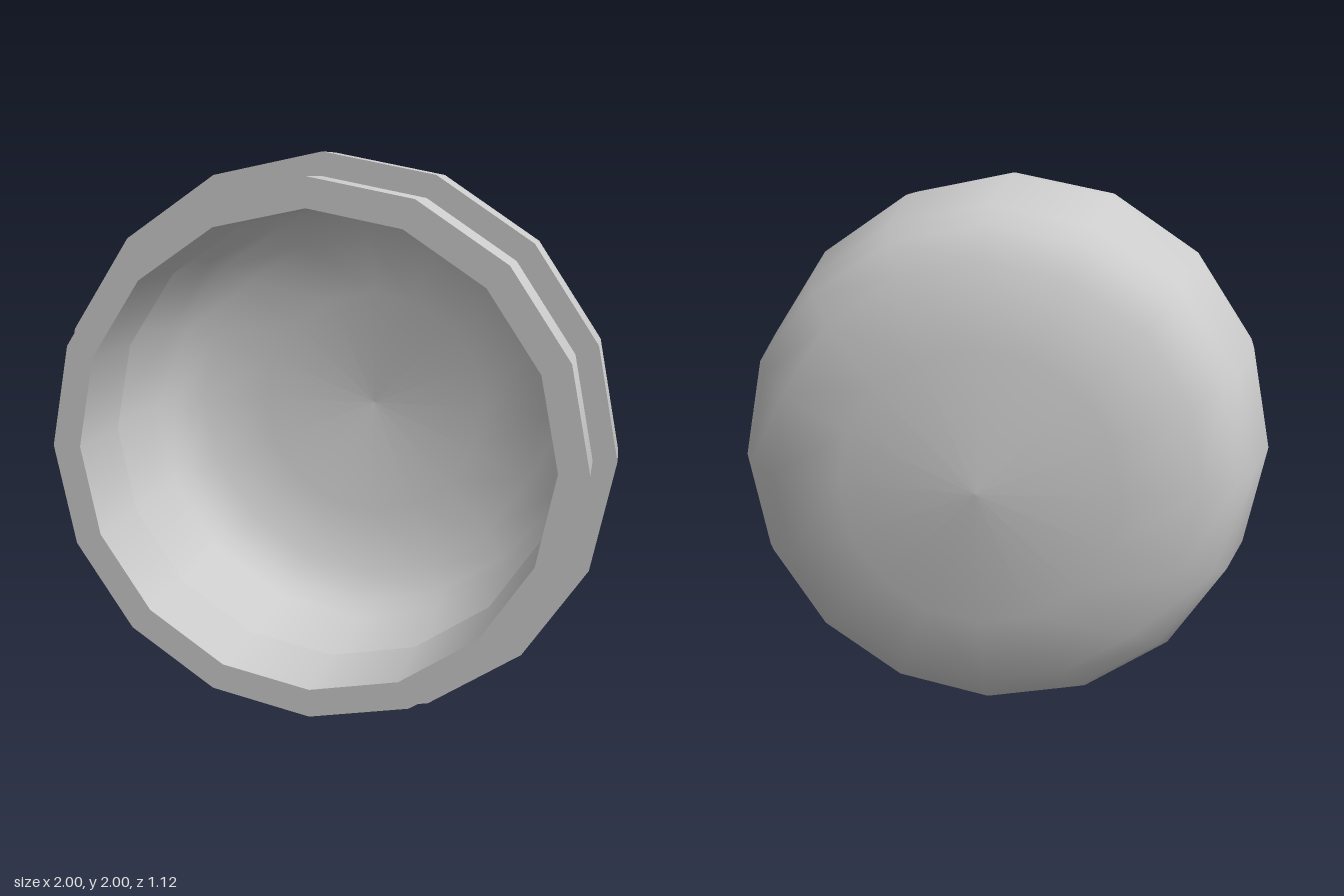
import * as THREE from 'three';

const SIDES = 16;
const material = new THREE.MeshStandardMaterial({ color: 0xcccccc });

// Revolves a smooth run of [radius, z] points around the z axis
function revolve(name, points) {
  const profile = points.map(([r, z]) => new THREE.Vector2(r, z));
  const geometry = new THREE.LatheGeometry(profile, SIDES);
  geometry.rotateX(Math.PI / 2);
  const mesh = new THREE.Mesh(geometry, material);
  mesh.name = name;
  return mesh;
}

export function createModel() {
  const model = new THREE.Group();
  model.name = 'domedCap';
  model.position.y = 1;

  // Domed shell: outside, front edge and hollow inside
  const shell = new THREE.Group();
  shell.name = 'shell';
  shell.add(
    revolve('shellOutside', [[0, -0.56], [0.48, -0.52], [0.75, -0.43], [0.865, -0.32], [0.92, -0.21], [1, 0.17], [1, 0.35]]),
    revolve('shellEdge', [[1, 0.35], [0.92, 0.35]]),
    revolve('shellInside', [[0.92, 0.35], [0.92, 0.17], [0.84, -0.19], [0.8, -0.27], [0.7, -0.36], [0.46, -0.44], [0, -0.48]]),
  );

  // Collar that sits inside the shell and stands out at the front
  const collar = new THREE.Group();
  collar.name = 'collar';
  const corners = [[0.92, 0.25], [0.92, 0.56], [0.82, 0.56], [0.82, 0.25]];
  ['collarOutside', 'collarFront', 'collarInside', 'collarBack'].forEach((name, i) => {
    collar.add(revolve(name, [corners[i], corners[(i + 1) % 4]]));
  });

  model.add(shell, collar);
  const group = new THREE.Group();
  group.add(model);
  return group;
}
